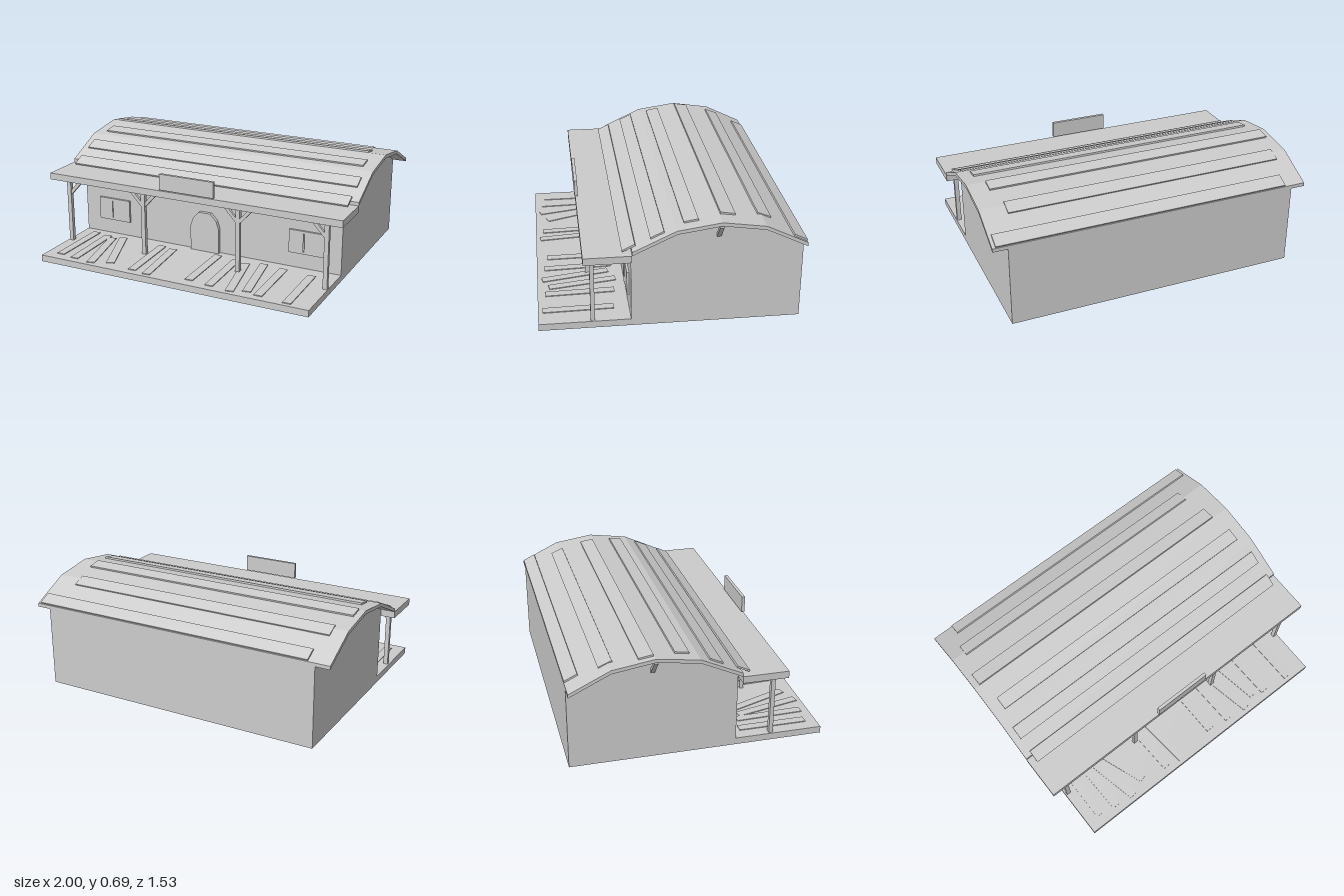
import * as THREE from 'three';

const material = new THREE.MeshStandardMaterial({ color: 0xcccccc, flatShading: true });

export function createModel() {
  const model = new THREE.Group();

  const add = (name, geometry, parent = model) => {
    const mesh = new THREE.Mesh(geometry, material);
    mesh.name = name;
    parent.add(mesh);
    return mesh;
  };
  // Box given by its limits on each axis
  const box = (name, x0, x1, y0, y1, z0, z1, parent) => {
    const mesh = add(name, new THREE.BoxGeometry(x1 - x0, y1 - y0, z1 - z0), parent);
    mesh.position.set((x0 + x1) / 2, (y0 + y1) / 2, (z0 + z1) / 2);
    return mesh;
  };
  // Side outline of [z, y] points, extruded along x and centred
  const sideExtrude = (points, width) => {
    const shape = new THREE.Shape(points.map(([z, y]) => new THREE.Vector2(-z, y)));
    return new THREE.ExtrudeGeometry(shape, { depth: width, bevelEnabled: false })
      .translate(0, 0, -width / 2).rotateY(Math.PI / 2);
  };
  const group = (name) => {
    const g = new THREE.Group();
    g.name = name;
    model.add(g);
    return g;
  };

  // Walls and the faceted barrel roof
  const under = [[0.23, 0.503], [-0.02, 0.62], [-0.275, 0.657], [-0.525, 0.62], [-0.767, 0.503]];
  const over = under.map(([z, y]) => [z, y + 0.022]);
  add('walls', sideExtrude([[0.23, 0], ...under, [-0.767, 0]], 1.82));
  add('roof', sideExtrude([...over, ...under.slice().reverse()], 2));

  // Roof boards: x limits, then lower front and back edges as z, y
  const boards = group('roofBoards');
  [
    [-0.955, 0.95, 0.282, 0.505, 0.208, 0.541],
    [-0.955, 0.95, 0.122, 0.575, 0.044, 0.611],
    [-0.925, 0.92, -0.068, 0.648, -0.152, 0.662],
    [-0.96, 0.885, -0.28, 0.679, -0.366, 0.665],
    [-0.91, 0.845, -0.502, 0.645, -0.581, 0.613],
    [-0.865, 0.98, -0.689, 0.563, -0.765, 0.526],
  ].forEach(([x0, x1, z0, y0, z1, y1]) => {
    const length = Math.hypot(z1 - z0, y1 - y0);
    const board = add('roofBoard', new THREE.BoxGeometry(x1 - x0, 0.011, length), boards);
    board.position.set((x0 + x1) / 2, (y0 + y1) / 2 + 0.005, (z0 + z1) / 2);
    board.rotation.x = Math.atan2(y1 - y0, z0 - z1);
  });

  // Diagonal braces under the gable overhangs
  for (const side of [-1, 1]) {
    const brace = add('gableBrace', new THREE.BoxGeometry(0.018, 0.125, 0.025));
    brace.position.set(side * 0.945, 0.603, -0.273);
    brace.rotation.z = -side * 0.72;
  }

  // Porch deck, canopy and sign board
  box('porchDeck', -0.91, 0.91, 0, 0.042, 0.23, 0.767);
  box('porchRoof', -1, 1, 0.46, 0.503, 0.23, 0.505);
  box('signBoard', -0.185, 0.185, 0.51, 0.612, 0.49, 0.51);

  // Loose deck planks: x centre and yaw
  const planks = group('deckPlanks');
  [
    [-0.81, 0], [-0.7, 0.03], [-0.61, 0.23], [-0.52, 0.36], [-0.28, 0.05], [-0.18, 0.1],
    [0.11, 0.02], [0.25, 0.04], [0.36, 0.2], [0.46, 0.17], [0.57, 0.03], [0.76, 0.02],
  ].forEach(([x, yaw], i) => {
    const plank = add('deckPlank', new THREE.BoxGeometry(0.052, 0.01, 0.42), planks);
    plank.position.set(x, 0.042, 0.51 + 0.02 * (i % 3 - 1));
    plank.rotation.y = yaw;
  });

  // Posts with angled brackets; outer posts have one bracket facing inward
  const posts = group('porchPosts');
  [[-0.887, [1]], [-0.333, [-1, 1]], [0.325, [-1, 1]], [0.892, [-1]]].forEach(([x, sides]) => {
    box('post', x - 0.014, x + 0.014, 0.04, 0.462, 0.44, 0.465, posts);
    for (const side of sides) {
      const bracket = add('postBracket', new THREE.BoxGeometry(0.022, 0.125, 0.018), posts);
      bracket.position.set(x + side * 0.051, 0.417, 0.4525);
      bracket.rotation.z = -side * 0.74;
    }
  });

  // Arched door
  const arch = [[-0.1, 0.04], [0.1, 0.04], [0.1, 0.205], [0.082, 0.26], [0.04, 0.303],
    [-0.04, 0.303], [-0.082, 0.26], [-0.1, 0.205]];
  const doorShape = new THREE.Shape(arch.map(([x, y]) => new THREE.Vector2(x, y)));
  add('door', new THREE.ExtrudeGeometry(doorShape, { depth: 0.026, bevelEnabled: false }))
    .position.set(-0.006, 0, 0.229);

  // Windows with a centre bar
  for (const side of [-1, 1]) {
    const x = side * 0.685;
    box('window', x - 0.115, x + 0.115, 0.14, 0.29, 0.225, 0.244);
    box('windowBar', x - 0.02, x - 0.012, 0.157, 0.275, 0.24, 0.252);
  }

  return model;
}
